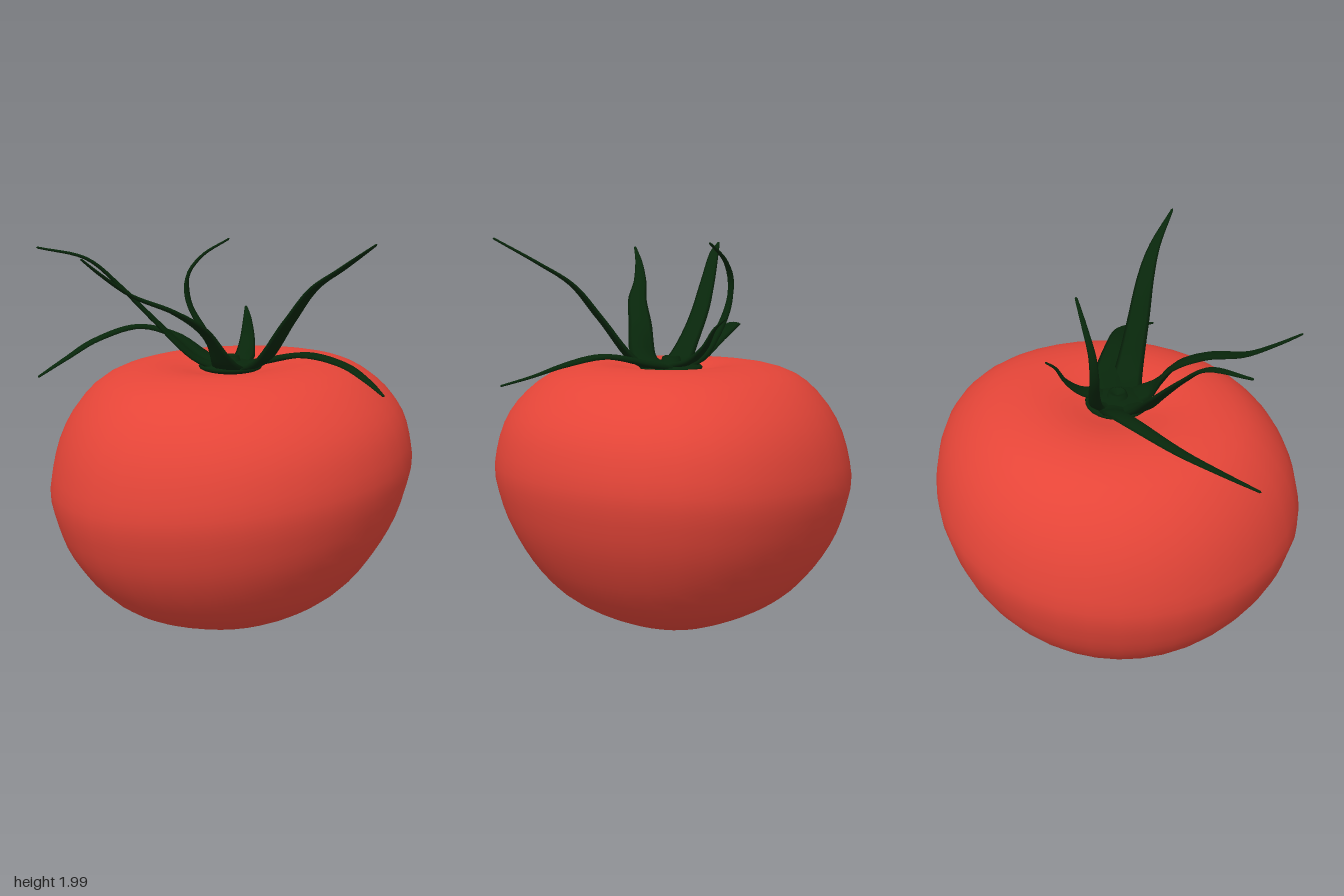
import * as THREE from 'three';
import { mergeVertices } from 'three/addons/utils/BufferGeometryUtils.js';

const red = new THREE.MeshStandardMaterial({ color: 0xe54538 });
const green = new THREE.MeshStandardMaterial({ color: 0x08260b });
const { smoothstep } = THREE.MathUtils;
const bump = (a, centre, width) => {
  const d = Math.atan2(Math.sin(a - centre), Math.cos(a - centre)) / width;
  return Math.exp(-d * d);
};

// Fruit: a lathed profile with a dimple, made lopsided and slightly tilted
function makeFruit() {
  const profile = new THREE.SplineCurve([
    [0, 0.008], [0.2, 0.027], [0.4, 0.095], [0.59, 0.2], [0.73, 0.34], [0.85, 0.54],
    [0.912, 0.75], [0.915, 0.86], [0.87, 1.04], [0.78, 1.19], [0.64, 1.31], [0.46, 1.366],
    [0.3, 1.364], [0.18, 1.335], [0.08, 1.312], [0, 1.305],
  ].map(([r, y]) => new THREE.Vector2(r, y))).getSpacedPoints(36);
  profile[0].x = profile[36].x = 0;
  let geo = new THREE.LatheGeometry(profile, 40);
  const pos = geo.attributes.position;
  for (let i = 0; i < pos.count; i++) {
    let x = pos.getX(i), y = pos.getY(i), z = pos.getZ(i);
    const a = Math.atan2(z, x);
    const k = 1 + 0.075 * bump(a, -0.87, 0.5) - 0.025 * bump(a, 0.6, 0.6) + 0.03 * bump(a, 2.03, 0.35);
    x *= k;
    z *= k;
    const tilt = smoothstep(y, -0.4, 0.6) * (1 - 0.7 * smoothstep(y, 0.9, 1.37));
    const lean = smoothstep(y, -0.4, 0.6);
    pos.setXYZ(i, x, Math.max(0, y + 0.08 * tilt * x - 0.028 * lean * z), z);
  }
  geo.deleteAttribute('normal');
  geo.deleteAttribute('uv');
  geo = mergeVertices(geo, 1e-4);
  geo.computeVertexNormals();
  const mesh = new THREE.Mesh(geo, red);
  mesh.name = 'fruit';
  return mesh;
}

// Sepal: a thin tapering blade swept along a curve, kept near level across its width
function makeSepal(points, halfWidth) {
  const curve = new THREE.CatmullRomCurve3(points.map(p => new THREE.Vector3(...p)));
  const steps = 28, sides = 8, verts = [], index = [];
  const worldUp = new THREE.Vector3(0, 1, 0);
  const side = worldUp.clone().cross(curve.getTangentAt(0)).normalize();
  for (let i = 0; i <= steps; i++) {
    const u = i / steps, p = curve.getPointAt(u), t = curve.getTangentAt(u);
    const level = worldUp.clone().cross(t);
    side.multiplyScalar(0.4).addScaledVector(level, level.dot(side) < 0 ? -1 : 1);
    side.addScaledVector(t, -side.dot(t)).normalize();
    const up = t.clone().cross(side);
    const w = halfWidth * (1 - u ** 2) + 0.035 * Math.exp(-8 * u) + 0.007;
    const h = 0.014 * (1 - u) + 0.005;
    for (let j = 0; j < sides; j++) {
      const a = j / sides * Math.PI * 2;
      const q = p.clone().addScaledVector(side, w * Math.cos(a)).addScaledVector(up, h * Math.sin(a));
      verts.push(q.x, q.y, q.z);
      if (i === steps) continue;
      const k = (j + 1) % sides, r = i * sides;
      index.push(r + j, r + k, r + sides + j, r + k, r + sides + k, r + sides + j);
    }
  }
  // close the tip
  const tip = curve.getPointAt(1).addScaledVector(curve.getTangentAt(1), 0.008);
  verts.push(tip.x, tip.y, tip.z);
  const last = steps * sides;
  for (let j = 0; j < sides; j++) index.push(last + j, last + (j + 1) % sides, last + sides);
  const geo = new THREE.BufferGeometry();
  geo.setAttribute('position', new THREE.Float32BufferAttribute(verts, 3));
  geo.setIndex(index);
  geo.computeVertexNormals();
  return new THREE.Mesh(geo, green);
}

// Calyx: hub, hollow stem scar and seven curling sepals
function makeCalyx() {
  const calyx = new THREE.Group();
  calyx.name = 'calyx';

  const hub = new THREE.Mesh(new THREE.SphereGeometry(0.16, 24, 12), green);
  hub.scale.y = 0.2;
  hub.position.y = 1.348;
  hub.name = 'calyxHub';

  const scarProfile = [[0.07, 1.36], [0.05, 1.38], [0.045, 1.4], [0.035, 1.405], [0.025, 1.39], [0, 1.38]];
  const scar = new THREE.Mesh(
    new THREE.LatheGeometry(scarProfile.map(([r, y]) => new THREE.Vector2(r, y)), 16), green);
  scar.name = 'stemScar';
  calyx.add(hub, scar);

  // half width, then the points of the midline
  const sepals = {
    leftTallSepal: [0.058, [0.04, 1.345, 0.03], [0.17, 1.385, 0.08], [0.33, 1.6, 0.16], [0.46, 1.77, 0.22], [0.6, 1.87, 0.29], [0.77, 1.99, 0.415]],
    leftLowSepal: [0.058, [0.04, 1.345, -0.02], [0.18, 1.38, -0.02], [0.4, 1.43, 0.06], [0.6, 1.4, 0.13], [0.72, 1.35, 0.22], [0.815, 1.305, 0.335]],
    frontSepal: [0.056, [0.02, 1.345, 0.04], [0.02, 1.385, 0.17], [-0.05, 1.55, 0.27], [-0.16, 1.66, 0.4], [-0.32, 1.75, 0.54], [-0.42, 1.85, 0.65], [-0.477, 1.925, 0.735]],
    rightTallSepal: [0.05, [-0.04, 1.345, 0.02], [-0.15, 1.385, 0.07], [-0.35, 1.58, 0.13], [-0.5, 1.75, 0.2], [-0.64, 1.89, 0.28], [-0.835, 1.95, 0.415]],
    rightLowSepal: [0.04, [-0.04, 1.345, -0.02], [-0.15, 1.385, -0.05], [-0.3, 1.48, -0.06], [-0.48, 1.53, 0], [-0.65, 1.48, 0.17], [-0.74, 1.41, 0.34], [-0.815, 1.345, 0.5]],
    curledSepal: [0.02, [-0.03, 1.345, -0.04], [-0.09, 1.385, -0.11], [-0.18, 1.5, -0.14], [-0.265, 1.65, -0.15], [-0.27, 1.78, -0.16], [-0.2, 1.88, -0.18], [-0.065, 1.965, -0.2]],
    backSepal: [0.045, [0.02, 1.345, -0.04], [0.04, 1.375, -0.11], [0.035, 1.405, -0.18], [0.025, 1.47, -0.25], [0.01, 1.56, -0.3], [-0.008, 1.605, -0.345]],
  };
  for (const [name, [halfWidth, ...points]] of Object.entries(sepals)) {
    const sepal = makeSepal(points, halfWidth);
    sepal.name = name;
    calyx.add(sepal);
  }
  return calyx;
}

export function createModel() {
  const model = new THREE.Group();
  model.name = 'tomato';
  model.add(makeFruit(), makeCalyx());
  return model;
}
